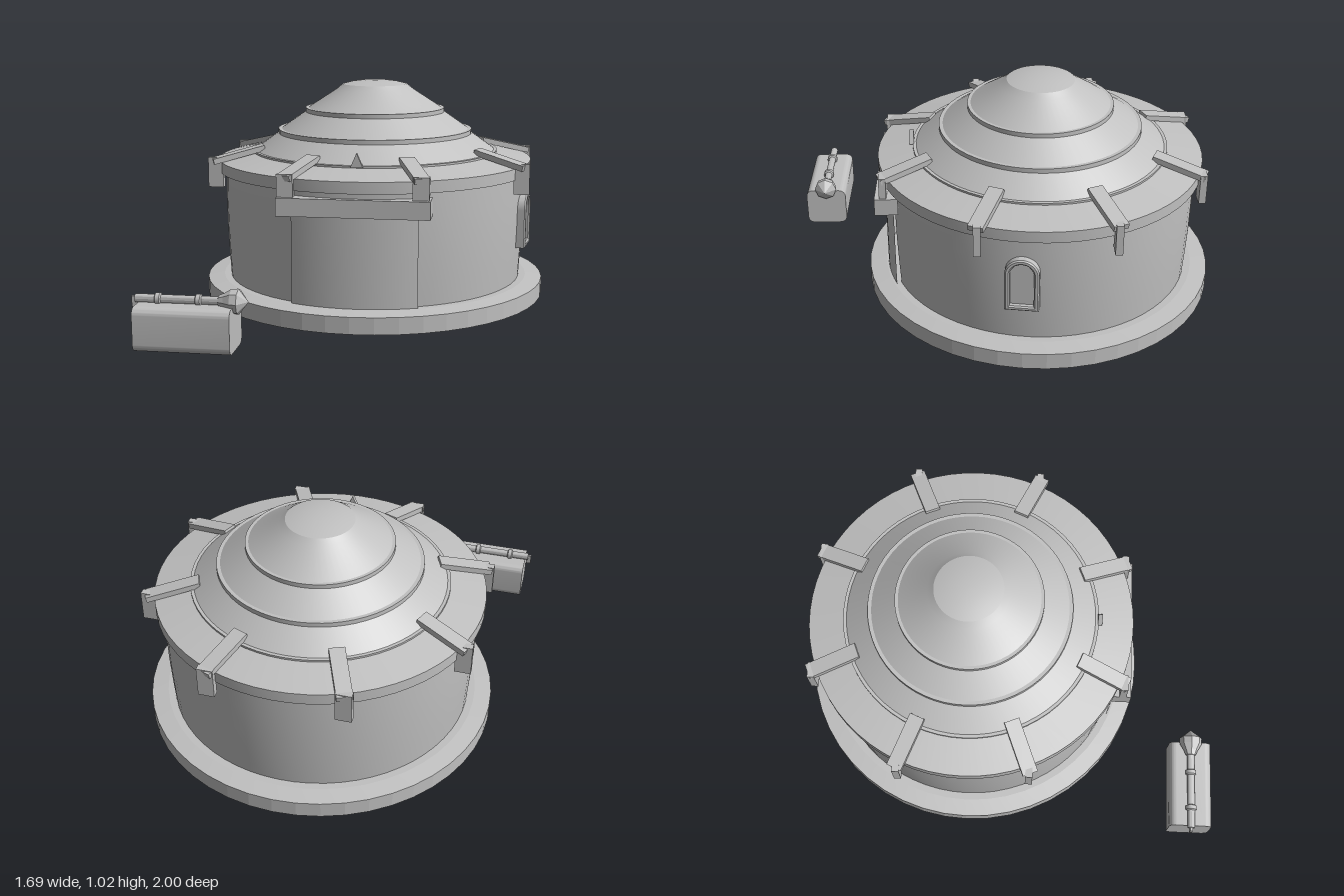
import * as THREE from 'three';
import { toCreasedNormals } from 'three/addons/utils/BufferGeometryUtils.js';

export function createModel() {
  const model = new THREE.Group();
  const clay = new THREE.MeshStandardMaterial({ color: 0xc0c0c0, side: THREE.DoubleSide });
  clay.name = 'plain grey';

  const add = (parent, name, geo, x = 0, y = 0, z = 0) => {
    const m = new THREE.Mesh(geo, clay);
    m.name = name;
    m.position.set(x, y, z);
    parent.add(m);
    return m;
  };
  const box = (w, h, d) => new THREE.BoxGeometry(w, h, d);
  const lathe = (pts, seg = 64, start = 0, len = Math.PI * 2, crease = 0.3) =>
    toCreasedNormals(new THREE.LatheGeometry(pts.map(p => new THREE.Vector2(...p)), seg, start, len), crease);

  // Round hut
  const hut = new THREE.Group();
  hut.name = 'hut';
  hut.position.set(0.02, 0, -0.182);
  model.add(hut);

  add(hut, 'base', lathe([[0, 0], [0.818, 0], [0.818, 0.077], [0.74, 0.087], [0, 0.087]], 48, 0, Math.PI * 2, 0.1));

  // Bulging wall with a doorway gap facing the front
  const gap = 0.395;
  add(hut, 'wall', lathe([[0.706, 0.08], [0.713, 0.2], [0.719, 0.34], [0.721, 0.48], [0.72, 0.61]],
    56, gap, Math.PI * 2 - gap * 2));
  add(hut, 'doorPanel', lathe([[0.729, 0.083], [0.729, 0.61]], 12, -gap, gap * 2));
  add(hut, 'lintel', box(0.67, 0.08, 0.105), 0.003, 0.535, 0.7);

  // Stepped roof
  add(hut, 'roof', lathe([
    [0.69, 0.6], [0.753, 0.6], [0.753, 0.653], [0.59, 0.686], [0.59, 0.695], [0.575, 0.695],
    [0.467, 0.772], [0.467, 0.793], [0.45, 0.793],
    [0.335, 0.873], [0.335, 0.893], [0.32, 0.893],
    [0.185, 0.98], [0.155, 1.005], [0.11, 1.016], [0.055, 1.023], [0, 1.025],
  ], 64, 0, Math.PI * 2, 0.2));

  // Eight radial beams, each with a post hanging over the rim
  for (let i = 0; i < 8; i++) {
    const a = (i + 0.5) * Math.PI / 4;
    const spoke = new THREE.Group();
    spoke.name = 'roofBeam';
    spoke.rotation.y = a;
    hut.add(spoke);
    add(spoke, 'beam', box(0.07, 0.026, 0.25), 0, 0.686, 0.668).rotation.x = 0.235;
    add(hut, 'post', box(0.072, 0.14, 0.032), Math.sin(a) * 0.773, 0.605, Math.cos(a) * 0.773);
  }

  // Small triangular fin on the front of the roof
  const tri = new THREE.Shape([[-0.028, 0], [0.028, 0], [0, 0.065]].map(p => new THREE.Vector2(...p)));
  add(hut, 'roofFin', new THREE.ExtrudeGeometry(tri, { depth: 0.02, bevelEnabled: false }), 0, 0.69, 0.585);

  // Arched window on the left side
  const arch = (Type, hw, bottom, spring) => {
    const s = new Type();
    s.moveTo(-hw, bottom);
    s.lineTo(hw, bottom);
    s.lineTo(hw, spring);
    s.absarc(0, spring, hw, 0, Math.PI, false);
    s.lineTo(-hw, bottom);
    return s;
  };
  const frameShape = arch(THREE.Shape, 0.075, 0.255, 0.435);
  frameShape.holes.push(arch(THREE.Path, 0.052, 0.277, 0.435));
  const frameGeo = new THREE.ExtrudeGeometry(frameShape, {
    depth: 0.045, bevelThickness: 0.006, bevelSize: 0.006, bevelOffset: -0.006, bevelSegments: 1, curveSegments: 12 });
  const win = new THREE.Group();
  win.name = 'window';
  win.rotation.y = Math.PI / 2 - 0.145;
  hut.add(win);
  add(win, 'windowFrame', toCreasedNormals(frameGeo, 0.5), 0, 0, 0.704);
  add(win, 'windowPane', new THREE.ShapeGeometry(arch(THREE.Shape, 0.06, 0.27, 0.435)), 0, 0, 0.732);

  // Rounded plinth in front of the hut
  const hw = 0.1, h = 0.188, r = 0.032;
  const s = new THREE.Shape();
  s.absarc(hw - r, h - r, r, 0, Math.PI / 2);
  s.absarc(-hw + r, h - r, r, Math.PI / 2, Math.PI);
  s.absarc(-hw + r, r, r, Math.PI, Math.PI * 1.5);
  s.absarc(hw - r, r, r, Math.PI * 1.5, Math.PI * 2);
  const plinth = new THREE.ExtrudeGeometry(s, { depth: 0.408, bevelEnabled: false, curveSegments: 5 });
  add(model, 'plinth', toCreasedNormals(plinth, 0.5), -0.818, 0, 0.9).rotation.y = Math.PI / 2;

  // Mace lying along x on the plinth
  const mace = new THREE.Group();
  mace.name = 'mace';
  mace.position.set(0, 0.204, 0.898);
  model.add(mace);
  const turned = (name, pts, seg) => {
    add(mace, name, lathe(pts, seg, 0, Math.PI * 2, name === 'maceHead' ? 0.1 : 0.6)).rotation.z = -Math.PI / 2;
  };
  turned('shaft', [[0, -0.832], [0.018, -0.832], [0.018, -0.46], [0, -0.46]], 12);
  for (const x of [-0.735, -0.563])
    turned('shaftRing', [[0.017, x - 0.014], [0.026, x - 0.009], [0.026, x + 0.009], [0.017, x + 0.014]], 12);
  turned('maceHead', [[0, -0.478], [0.024, -0.478], [0.034, -0.455], [0.052, -0.425], [0.055, -0.395], [0, -0.353]], 8);
  add(mace, 'endTab', box(0.024, 0.045, 0.012), -0.836, -0.014, 0);

  return model;
}
